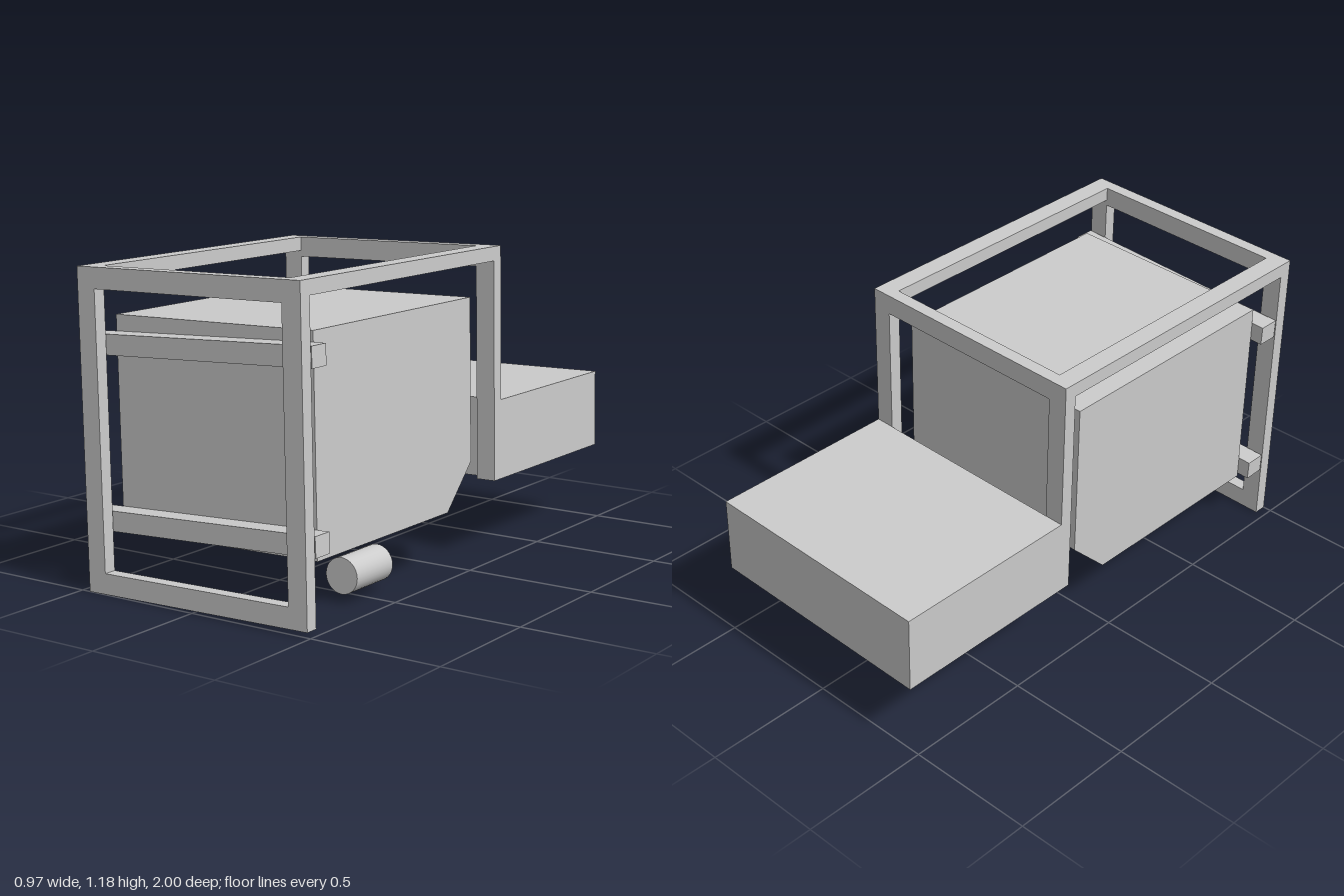
import * as THREE from 'three';

export function createModel() {
  const model = new THREE.Group();
  const material = new THREE.MeshStandardMaterial({ color: 0xcccccc });

  // The whole assembly leans slightly about the z axis, around this height
  const pivot = 0.589;
  const body = new THREE.Group();
  body.name = 'leaningAssembly';
  body.position.y = pivot;
  body.rotation.z = 0.0188;
  model.add(body);

  const add = (name, geometry, x, y, z) => {
    const mesh = new THREE.Mesh(geometry, material);
    mesh.name = name;
    mesh.position.set(x, y, z);
    body.add(mesh);
    return mesh;
  };
  // Box given by its limits, with y measured from the ground
  const box = (name, x0, x1, y0, y1, z0, z1) =>
    add(name, new THREE.BoxGeometry(x1 - x0, y1 - y0, z1 - z0),
      (x0 + x1) / 2, (y0 + y1) / 2 - pivot, (z0 + z1) / 2);

  const hw = 0.476, bar = 0.076, depth = 0.05;
  const bottom = 0.01, top = 1.168;

  // Closed rectangular front frame
  const rect = (target, w, h) => {
    target.moveTo(-w, -h);
    target.lineTo(w, -h);
    target.lineTo(w, h);
    target.lineTo(-w, h);
    target.closePath();
    return target;
  };
  const hh = (top - bottom) / 2;
  const frame = rect(new THREE.Shape(), hw, hh);
  frame.holes.push(rect(new THREE.Path(), hw - bar, hh - bar));
  add('frontFrame', new THREE.ExtrudeGeometry(frame, { depth, bevelEnabled: false }), 0, 0, 1 - depth);

  // Side rails and rear posts
  for (const [side, s] of [['left', 1], ['right', -1]]) {
    const x0 = Math.min(s * hw, s * (hw - bar));
    box(side + 'TopRail', x0, x0 + bar, top - 0.053, top, -0.2, 0.95);
    box(side + 'RearPost', x0, x0 + bar, 0.289, top, -0.25, -0.2);
  }
  box('rearTopBar', -hw + bar, hw - bar, top - bar, top, -0.25, -0.2);

  // Large tank with a chamfered lower rear edge; profile in (z, y)
  const profile = new THREE.Shape(
    [[0.865, 0.212], [0.865, 0.988], [-0.115, 0.988], [-0.115, 0.375], [0.05, 0.212]]
      .map(([z, y]) => new THREE.Vector2(-z, y - pivot)));
  const tankWidth = 0.85;
  const tank = new THREE.ExtrudeGeometry(profile, { depth: tankWidth, bevelEnabled: false });
  tank.translate(0, 0, -tankWidth / 2).rotateY(Math.PI / 2);
  add('mainTank', tank, 0, 0, 0);

  // Mounting bars between frame and tank, tilted a little more than the frame
  for (const [name, y] of [['upperMountBar', 0.902], ['lowerMountBar', 0.273]]) {
    const m = box(name, -hw, hw, y - 0.037, y + 0.037, 0.865, 0.945);
    m.rotation.z = 0.024;
  }

  // Rear box
  box('rearBox', -hw, hw, 0.289, 0.591, -1, -0.25);

  // Small square drain fitting under the rear box
  const plate = rect(new THREE.Shape(), 0.04, 0.04);
  plate.holes.push(rect(new THREE.Path(), 0.027, 0.027));
  const rim = new THREE.ExtrudeGeometry(plate, { depth: 0.012, bevelEnabled: false });
  rim.rotateX(Math.PI / 2);
  add('drainRim', rim, -0.165, 0.289 - pivot, -0.45);
  add('drainPlug', new THREE.CylinderGeometry(0.02, 0.01, 0.034, 16), -0.165, 0.272 - pivot, -0.45);

  // Loose pipe stub below the tank
  const stub = new THREE.CylinderGeometry(0.066, 0.066, 0.22, 32).rotateX(Math.PI / 2);
  add('pipeStub', stub, 0.341, 0.092 - pivot, 0.5);

  return model;
}
